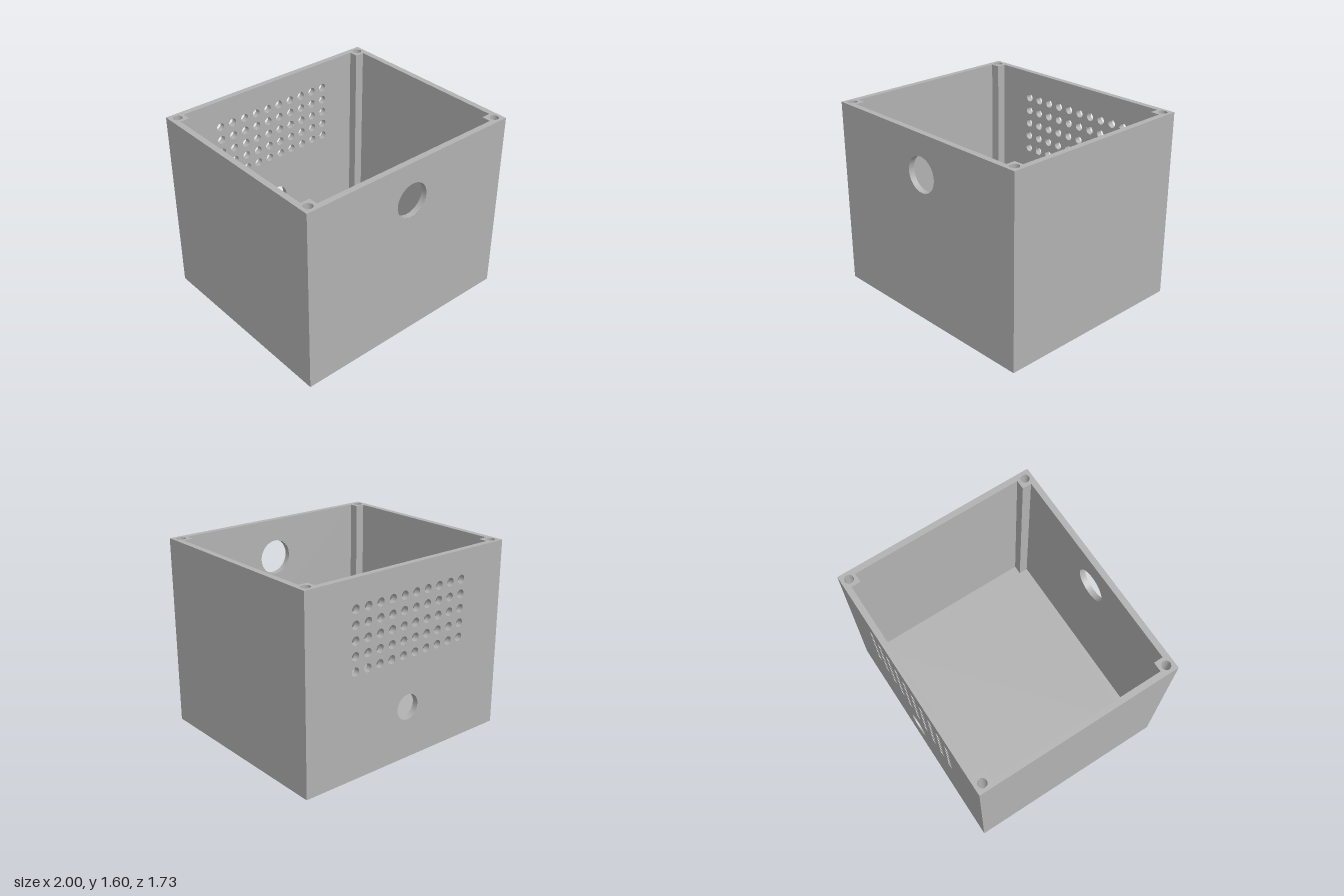
import * as THREE from 'three';
import { mergeGeometries } from 'three/addons/utils/BufferGeometryUtils.js';

const X = 1, Z = 0.865, H = 1.6;          // outer half width, half depth, height
const IX = 0.95, IZ = 0.815, FLOOR = 0.05; // cavity half sizes, floor thickness
const PX = 0.87, PZ = 0.737;               // inner edges of the corner posts
const BORE_R = 0.037, BORE_DEPTH = 0.4;
const HALF = Math.PI / 2;

// Circle path used as a hole in a shape
const circle = (x, y, r) => new THREE.Path().absarc(x, y, r, 0, Math.PI * 2, true);

const poly = (pts) => new THREE.Shape(pts.map(([x, y]) => new THREE.Vector2(x, y)));

// Upright rectangle turned about y
const panel = (w, y0, y1, x, z, turn) =>
  new THREE.PlaneGeometry(w, y1 - y0).rotateY(turn).translate(x, (y0 + y1) / 2, z);

// Open cylinder along y that is seen from the inside
function boreWall(r, length) {
  const g = new THREE.CylinderGeometry(r, r, length, 32, 1, true);
  const index = g.index.array, n = g.attributes.normal.array;
  for (let i = 0; i < index.length; i += 3) [index[i], index[i + 1]] = [index[i + 1], index[i]];
  for (let i = 0; i < n.length; i++) n[i] = -n[i];
  return g;
}

// Outer face, inner face and hole linings of a pierced wall; side is +1 front, -1 back
function piercedWall(side, holes) {
  const face = (hw, y0, z, turn) => {
    const s = poly([[-hw, y0], [hw, y0], [hw, H], [-hw, H]]);
    for (const [x, y, r] of holes) s.holes.push(circle(turn ? -x : x, y, r));
    return new THREE.ShapeGeometry(s, 32).rotateY(turn).translate(0, 0, z);
  };
  const outerTurn = side > 0 ? 0 : Math.PI;
  const parts = [
    face(X, 0, side * Z, outerTurn),
    face(PX, FLOOR, side * IZ, Math.PI - outerTurn),
  ];
  for (const [x, y, r] of holes) {
    parts.push(boreWall(r, Z - IZ).rotateX(HALF).translate(x, y, side * (Z + IZ) / 2));
  }
  return mergeGeometries(parts);
}

export function createModel() {
  const model = new THREE.Group();
  model.name = 'enclosure';
  const grey = new THREE.MeshStandardMaterial({ color: 0xb2b2b2 });
  grey.name = 'grey';
  const add = (name, geometry) => {
    const mesh = new THREE.Mesh(geometry, grey);
    mesh.name = name;
    model.add(mesh);
  };

  // Front wall with one large port
  add('frontWall', piercedWall(1, [[0, 1.267, 0.148]]));

  // Back wall with a vent grid and a cable port
  const vents = [[0, 0.44, 0.107]];
  for (let row = 0; row < 5; row++) {
    for (let col = 0; col < 10; col++) vents.push([(col - 4.5) * 0.12, 1.365 - row * 0.12, 0.035]);
  }
  add('backWall', piercedWall(-1, vents));

  // Side walls
  for (const s of [1, -1]) {
    add(s > 0 ? 'leftWall' : 'rightWall', mergeGeometries([
      panel(2 * Z, 0, H, s * X, 0, s * HALF),
      panel(2 * PZ, FLOOR, H, s * IX, 0, -s * HALF),
    ]));
  }

  // Cavity outline, notched at the corner posts
  const cavity = [
    [-PX, -IZ], [PX, -IZ], [PX, -PZ], [IX, -PZ], [IX, PZ], [PX, PZ],
    [PX, IZ], [-PX, IZ], [-PX, PZ], [-IX, PZ], [-IX, -PZ], [-PX, -PZ],
  ];

  // Floor, inside and underneath
  add('floor', mergeGeometries([
    new THREE.ShapeGeometry(poly(cavity)).rotateX(-HALF).translate(0, FLOOR, 0),
    new THREE.PlaneGeometry(2 * X, 2 * Z).rotateX(HALF),
  ]));

  // Top rim and the corner posts with blind screw holes
  const rim = poly([[-X, -Z], [X, -Z], [X, Z], [-X, Z]]);
  rim.holes.push(poly(cavity));
  for (const sx of [1, -1]) {
    for (const sz of [1, -1]) {
      const bx = sx * 0.935, bz = sz * 0.8;
      rim.holes.push(circle(bx, bz, BORE_R));
      add('cornerPost', mergeGeometries([
        panel(IZ - PZ, FLOOR, H, sx * PX, sz * (IZ + PZ) / 2, -sx * HALF),
        panel(IX - PX, FLOOR, H, sx * (IX + PX) / 2, sz * PZ, sz > 0 ? Math.PI : 0),
      ]));
      add('screwHole', mergeGeometries([
        boreWall(BORE_R, BORE_DEPTH).translate(bx, H - BORE_DEPTH / 2, bz),
        new THREE.CircleGeometry(BORE_R, 32).rotateX(-HALF).translate(bx, H - BORE_DEPTH, bz),
      ]));
    }
  }
  add('topRim', new THREE.ShapeGeometry(rim, 32).rotateX(-HALF).translate(0, H, 0));

  return model;
}
